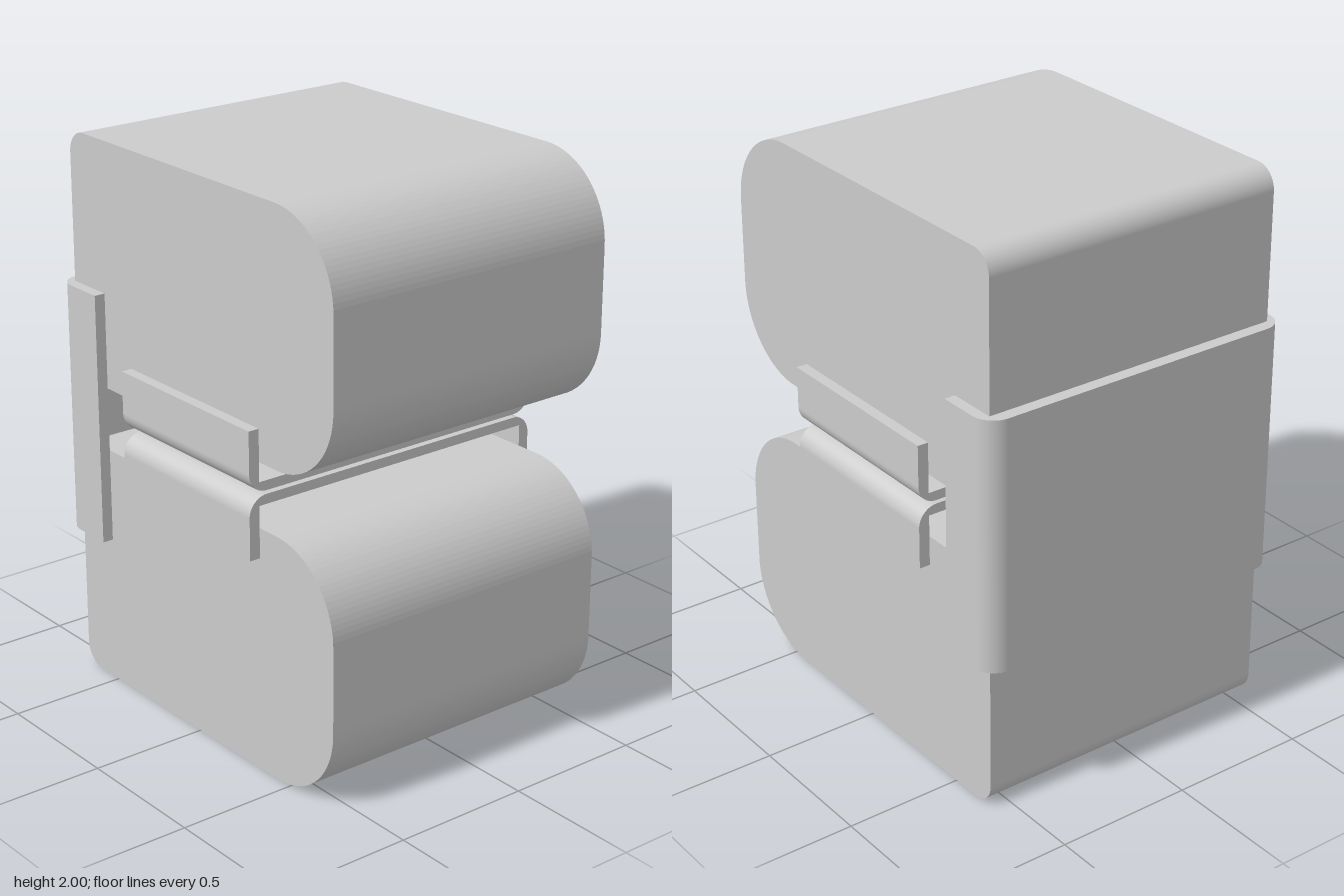
import * as THREE from 'three';

const material = new THREE.MeshStandardMaterial({ color: 0xcccccc });
const DEPTH = 1.14;
const WALL = 0.04;

// Centred extrusion of a shape along its own z axis
function extrude(shape, length) {
  const geo = new THREE.ExtrudeGeometry(shape, { depth: length, bevelEnabled: false, curveSegments: 12 });
  return geo.translate(0, 0, -length / 2);
}

// Block profile: small radii on the back edge, large radii on the open edge
function blockGeometry() {
  const l = -0.69, r = 0.73, h = 0.885, a = 0.08, b = 0.29;
  const s = new THREE.Shape();
  s.moveTo(l + a, 0);
  s.lineTo(r - b, 0);
  s.absarc(r - b, b, b, -Math.PI / 2, 0);
  s.absarc(r - b, h - b, b, 0, Math.PI / 2);
  s.absarc(l + a, h - a, a, Math.PI / 2, Math.PI);
  s.absarc(l + a, a, a, Math.PI, Math.PI * 1.5);
  return extrude(s, DEPTH);
}

// U-shaped channel: web at v = 0, legs rising to v = height, rounded outer bends
function channelGeometry(height, length, radius, web) {
  const o = DEPTH / 2 + WALL, i = DEPTH / 2;
  const s = new THREE.Shape();
  s.moveTo(-o + radius, 0);
  s.lineTo(o - radius, 0);
  s.absarc(o - radius, radius, radius, -Math.PI / 2, 0);
  s.lineTo(o, height);
  s.lineTo(i, height);
  s.lineTo(i, web);
  s.lineTo(-i, web);
  s.lineTo(-i, height);
  s.lineTo(-o, height);
  s.absarc(-o + radius, radius, radius, Math.PI, Math.PI * 1.5);
  return extrude(s, length);
}

// Turns a channel so that its width lies along z and its legs point along 'up'
function orient(geo, up) {
  const u = new THREE.Vector3(0, 0, 1);
  const w = new THREE.Vector3().crossVectors(u, up);
  return geo.applyMatrix4(new THREE.Matrix4().makeBasis(u, up, w));
}

export function createModel() {
  const group = new THREE.Group();
  const add = (name, geo, x, y) => {
    const mesh = new THREE.Mesh(geo, material);
    mesh.name = name;
    mesh.position.set(x, y, 0);
    group.add(mesh);
  };

  // Two facing blocks
  add('lowerBlock', blockGeometry(), 0, 0);
  add('upperBlock', blockGeometry(), 0, 1.115);

  // Bracket wrapping the back of both blocks
  add('backBracket', orient(channelGeometry(0.225, 0.915, 0.08, 0.045), new THREE.Vector3(1, 0, 0)), -0.735, 1.0025);

  // Contact clips wrapping the facing sides
  add('upperClip', orient(channelGeometry(0.22, 0.71, 0.07, 0.035), new THREE.Vector3(0, 1, 0)), -0.005, 1.01);
  add('lowerClip', orient(channelGeometry(0.22, 0.71, 0.07, 0.035), new THREE.Vector3(0, -1, 0)), -0.005, 0.997);

  return group;
}
